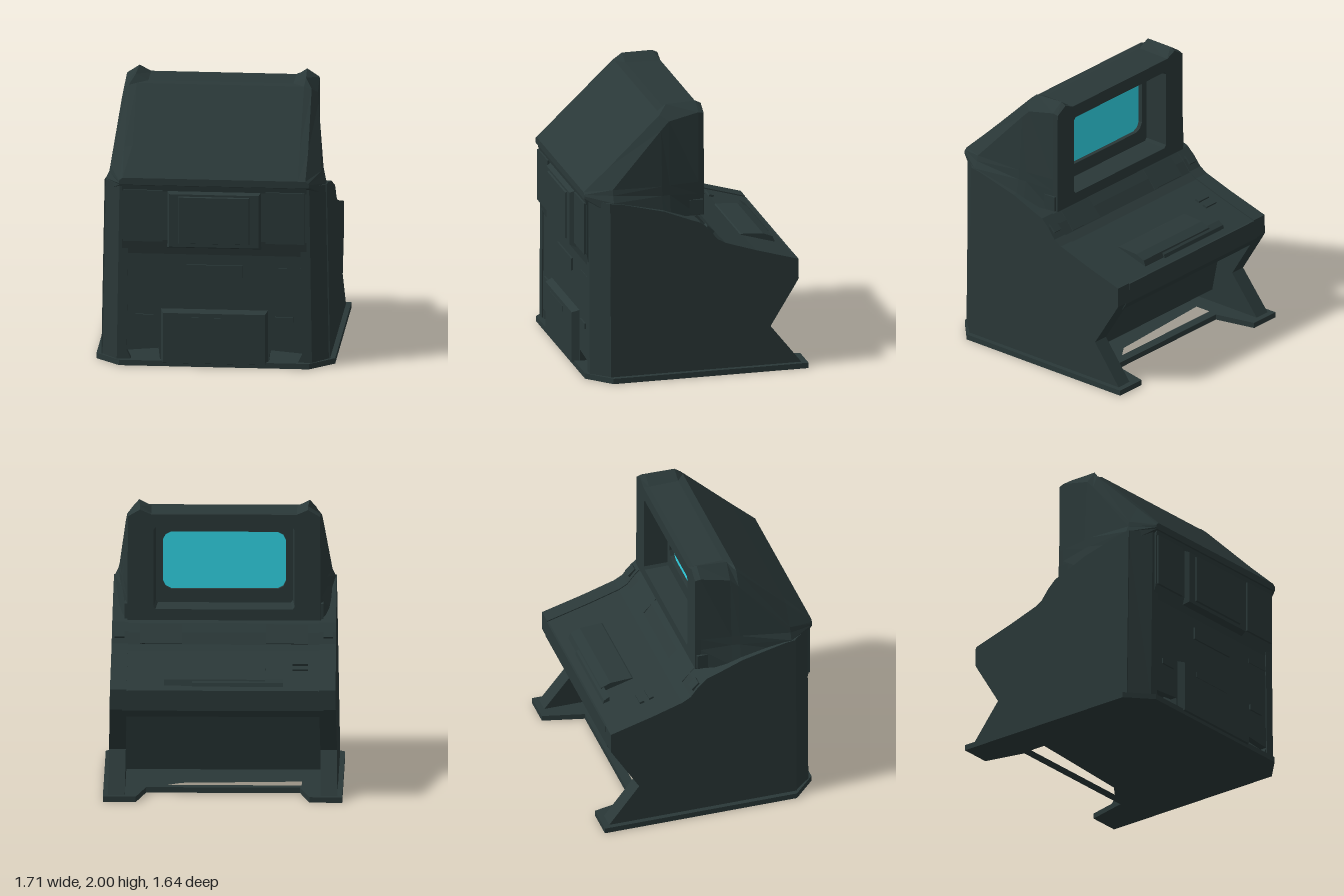
import * as THREE from 'three';

const shell = new THREE.MeshStandardMaterial({ color: 0x2a3838 });
shell.name = 'dark green grey';
const glass = new THREE.MeshStandardMaterial({ color: 0x30d6e8 });
glass.name = 'cyan screen';

const shapeOf = pts => new THREE.Shape(pts.map(p => new THREE.Vector2(p[0], p[1])));
const rect = (x0, x1, y0, y1) => [[x0, y0], [x1, y0], [x1, y1], [x0, y1]];
const extrude = (shape, depth) => new THREE.ExtrudeGeometry(shape, { depth, bevelEnabled: false });

// profile in (z, y), spanning x0..x1
function across(pts, x0, x1) {
  return extrude(shapeOf(pts), x1 - x0).rotateY(-Math.PI / 2).translate(x1, 0, 0);
}
// plan outline in (x, z), standing from y0 to y1
function slab(pts, y0, y1, hole) {
  const s = shapeOf(pts.map(([x, z]) => [x, -z]));
  if (hole) s.holes.push(shapeOf(hole.map(([x, z]) => [x, -z])));
  return extrude(s, y1 - y0).rotateX(-Math.PI / 2).translate(0, y0, 0);
}
// faceted skin through loops of points
function loft(loops, capEnd) {
  const v = [];
  for (let k = 0; k < loops.length - 1; k++) {
    const a = loops[k], b = loops[k + 1], n = a.length;
    for (let i = 0; i < n; i++) {
      const j = (i + 1) % n;
      v.push(...a[i], ...a[j], ...b[j], ...a[i], ...b[j], ...b[i]);
    }
  }
  const e = loops[loops.length - 1];
  if (capEnd) for (let i = 1; i < e.length - 1; i++) v.push(...e[0], ...e[i], ...e[i + 1]);
  const g = new THREE.BufferGeometry();
  g.setAttribute('position', new THREE.Float32BufferAttribute(v, 3));
  g.computeVertexNormals();
  return g;
}
// lean the sides inwards with height
function lean(g) {
  const p = g.attributes.position;
  for (let i = 0; i < p.count; i++) p.setX(i, p.getX(i) * (1 - 0.022 * p.getY(i)));
  g.computeVertexNormals();
  return g;
}
const mirrored = half => [...half, ...half.map(([x, y]) => [-x, y]).reverse()];

export function createModel() {
  const model = new THREE.Group();
  model.name = 'controlConsole';
  const add = (name, geo, mat = shell) => {
    const m = new THREE.Mesh(geo, mat);
    m.name = name;
    model.add(m);
    return m;
  };
  const box = (name, w, h, d, x, y, z, tilt = 0) => {
    const m = add(name, new THREE.BoxGeometry(w, h, d));
    m.position.set(x, y, z);
    m.rotation.x = tilt;
    return m;
  };

  // base plate with two feet and a slot under the knee space
  add('basePlate', slab([
    [0.855, -0.82], [0.855, 0.62], [0.68, 0.785], [-0.68, 0.785], [-0.855, 0.62], [-0.855, -0.82],
    [-0.62, -0.82], [-0.55, -0.52], [0.55, -0.52], [0.62, -0.82]
  ], 0.005, 0.045, [[-0.56, -0.45], [0.4, -0.45], [0.3, -0.38], [-0.56, -0.33]]));

  // deck line shared by the side panels and the desk
  const deckLine = [[0.03, 1.17], [-0.04, 1.145], [-0.1, 1.09], [-0.16, 1.015], [-0.22, 0.98],
    [-0.45, 0.905], [-0.76, 0.815], [-0.76, 0.67], [-0.73, 0.62]];
  const sideProfile = [[0.63, 0.02], [0.63, 1.34], [0.55, 1.33], [0.23, 1.25], ...deckLine,
    [-0.55, 0.33], [-0.78, 0.04], [-0.78, 0.02]];
  for (const s of [1, -1]) {
    const side = s > 0 ? 'left' : 'right';
    add(side + 'SidePanel', lean(s > 0 ? across(sideProfile, 0.7, 0.82) : across(sideProfile, -0.82, -0.7)));
    const post = [[0.82, 0.62], [0.7, 0.755], [0.63, 0.755], [0.63, 0.62]];
    add(side + 'CornerPost', lean(slab(post.map(([x, z]) => [s * x, z]), 0.02, 1.34)));
    // hinge plate and knob where the hood meets the desk
    box(side + 'HingePlate', 0.04, 0.11, 0.1, s * 0.69, 1.235, -0.03);
    box(side + 'HingeKnob', 0.07, 0.06, 0.07, s * 0.745, 1.065, -0.1, -0.75);
    // tilted display plates on the desk
    box(side + 'DeskPlate', 0.3, 0.02, 0.16, s * 0.45, 1.068, -0.1, -0.82);
    box(side + 'ShoulderPlate', 0.28, 0.38, 0.02, s * 0.51, 1.12, 0.775);
    box(side + 'LowerVent', 0.13, 0.04, 0.03, s * 0.5, 0.36, 0.745);
  }

  // desk and knee panel
  add('desk', across([[0.03, 1.0], ...deckLine.map(([z, y]) => [z, y - 0.008]), [-0.44, 0.58], [-0.4, 0.7]], -0.72, 0.72));
  add('kneePanel', across([[-0.38, 0.72], [-0.46, 0.6], [-0.36, 0.14], [-0.31, 0.14]], -0.72, 0.72));
  box('deskLip', 1.36, 0.05, 0.03, 0, 0.785, -0.748);
  add('keyboard', across([[-0.38, 0.88], [-0.44, 0.908], [-0.6, 0.898], [-0.67, 0.87], [-0.69, 0.82]], -0.3, 0.42));
  add('wristRest', across([[-0.65, 0.82], [-0.65, 0.875], [-0.69, 0.85], [-0.7, 0.82]], -0.43, 0.22));
  for (const z of [-0.46, -0.39]) box('deskButton', 0.11, 0.025, 0.035, -0.55, 0.897 + (z + 0.46) * 0.31, z, -0.3);

  // lower wall with two floor openings
  const wall = shapeOf(rect(-0.66, 0.66, 0.02, 1.36));
  for (const s of [1, -1]) {
    wall.holes.push(shapeOf([[0.39, 0.045], [0.6, 0.045], [0.63, 0.11], [0.4, 0.13]].map(([x, y]) => [s * x, y])));
  }
  add('wall', extrude(wall, 0.05).translate(0, 0, 0.697));
  add('upperWall', across([[0.7, 0.82], [0.745, 0.82], [0.77, 0.94], [0.77, 1.3], [0.785, 1.37], [0.7, 1.37]], -0.66, 0.66));
  const bulge = (hw, y0, y1, z0, z1, inset) => loft([
    rect(-hw, hw, y0, y1).map(([x, y]) => [x, y, z0]),
    rect(-hw + inset, hw - inset, y0 + inset, y1 - inset).map(([x, y]) => [x, y, z1])
  ], true);
  add('upperCabinet', bulge(0.35, 0.87, 1.32, 0.73, 0.805, 0.03));
  add('upperCabinetDoor', bulge(0.26, 0.92, 1.28, 0.79, 0.818, 0.01));
  add('lowerCabinet', bulge(0.39, 0.01, 0.43, 0.73, 0.8, 0.025));
  box('lowerCabinetHandle', 0.36, 0.04, 0.012, -0.06, 0.355, 0.798);
  box('middleSlot', 0.4, 0.09, 0.03, 0, 0.71, 0.745);
  box('sideSlot', 0.2, 0.035, 0.02, 0.53, 0.725, 0.742);

  // hood skin from cross-sections along z
  const sections = [
    [-0.09, [[0.69, 1.17], [0.69, 1.33], [0.69, 1.42], [0.685, 1.93], [0.6, 1.98], [0.52, 1.945]]],
    [-0.05, [[0.695, 1.17], [0.695, 1.33], [0.695, 1.42], [0.69, 1.94], [0.6, 2.0], [0.52, 1.945]]],
    [0.17, [[0.76, 1.19], [0.73, 1.35], [0.725, 1.42], [0.695, 1.89], [0.61, 1.995], [0.52, 1.95]]],
    [0.23, [[0.77, 1.2], [0.74, 1.35], [0.735, 1.42], [0.705, 1.83], [0.655, 1.93], [0.6, 1.945]]],
    [0.6, [[0.79, 1.25], [0.79, 1.34], [0.765, 1.39], [0.755, 1.43], [0.66, 1.575], [0.6, 1.585]]],
    [0.79, [[0.675, 1.35], [0.68, 1.36], [0.68, 1.375], [0.675, 1.385], [0.655, 1.4], [0.6, 1.4]]]
  ];
  add('hood', loft(sections.map(([z, h]) => mirrored(h).map(([x, y]) => [x, y, z])), true));

  // screen frame, recess and screen
  const opening = mirrored([[0.49, 1.25], [0.505, 1.27], [0.505, 1.83], [0.49, 1.85]]);
  const pane = mirrored([[0.38, 1.36], [0.42, 1.38], [0.44, 1.42], [0.44, 1.72], [0.42, 1.76], [0.38, 1.78]]);
  const frame = shapeOf(mirrored(sections[0][1]));
  frame.holes.push(shapeOf(opening));
  add('screenFrame', new THREE.ShapeGeometry(frame).rotateY(Math.PI).translate(0, 0, -0.09));
  const ring = (pts, z) => pts.map(([x, y]) => [x, y, z]).reverse();
  const wide = opening.map(([x, y]) => [x * 0.97, 1.55 + (y - 1.55) * 0.96]);
  add('screenRecess', loft([ring(opening, -0.09), ring(wide, 0.08)]));
  const surround = shapeOf(wide);
  surround.holes.push(shapeOf(pane));
  add('screenSurround', new THREE.ShapeGeometry(surround).rotateY(Math.PI).translate(0, 0, 0.08));
  add('screenEdge', loft([ring(pane, 0.08), ring(pane, 0.11)]));
  add('screen', new THREE.ShapeGeometry(shapeOf(pane)).rotateY(Math.PI).translate(0, 0, 0.11), glass);

  return model;
}
